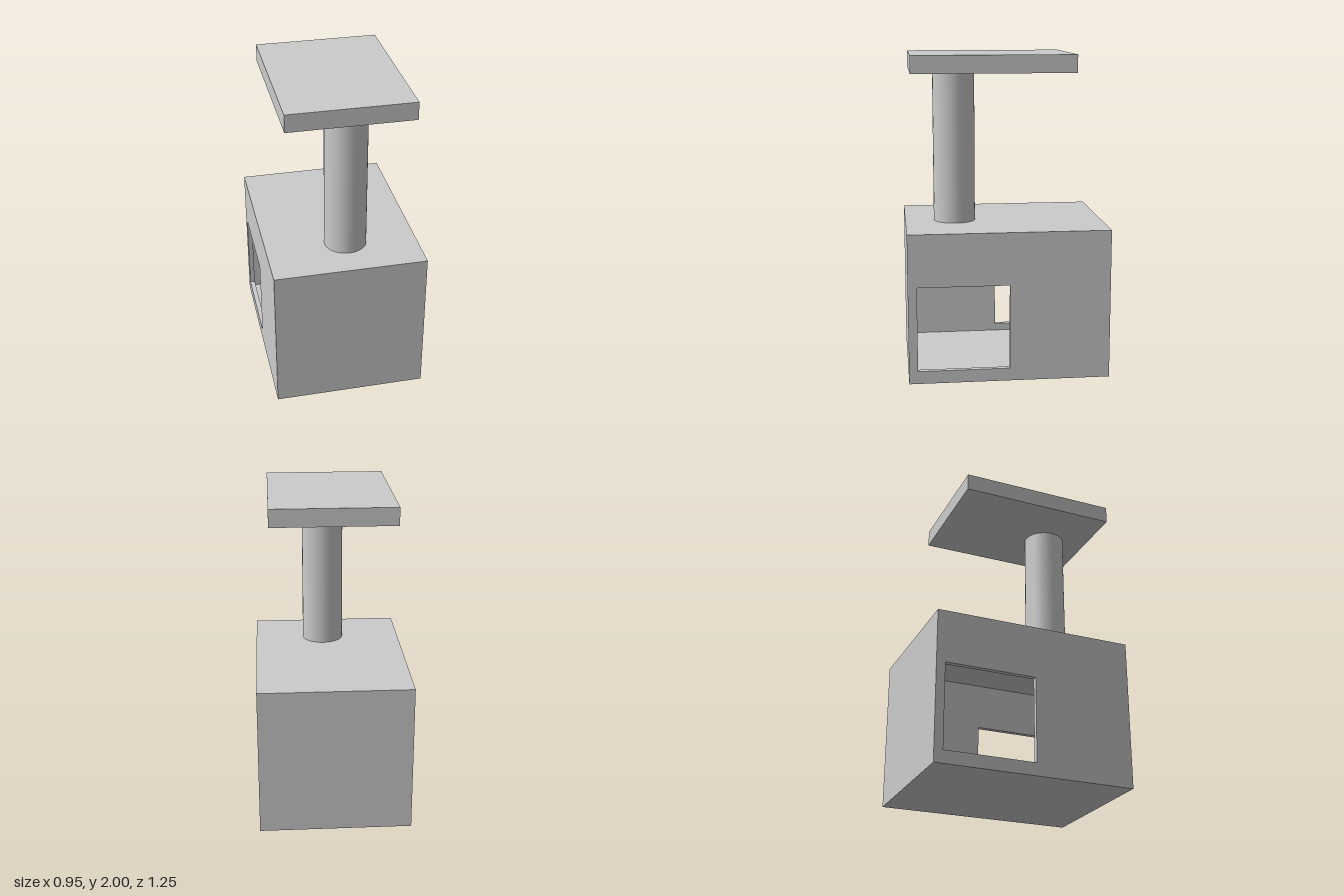
import * as THREE from 'three';

const WIDTH = 0.95, HEIGHT = 0.94, DEPTH = 1.25, WALL = 0.032;

export function createModel() {
  const model = new THREE.Group();
  const material = new THREE.MeshStandardMaterial({ color: 0xcccccc });

  function add(parent, name, geometry, x, y, z) {
    const mesh = new THREE.Mesh(geometry, material);
    mesh.name = name;
    mesh.position.set(x, y, z);
    parent.add(mesh);
    return mesh;
  }
  const box = (w, h, d) => new THREE.BoxGeometry(w, h, d);

  // Hollow box house
  const house = new THREE.Group();
  house.name = 'house';
  model.add(house);

  // Side wall with a doorway, drawn in z (across) and y (up)
  const outline = new THREE.Shape();
  outline.moveTo(-DEPTH / 2, 0).lineTo(DEPTH / 2, 0).lineTo(DEPTH / 2, HEIGHT).lineTo(-DEPTH / 2, HEIGHT).closePath();
  const doorway = new THREE.Path();
  doorway.moveTo(0, 0.08).lineTo(0, 0.61).lineTo(0.57, 0.61).lineTo(0.57, 0.08).closePath();
  outline.holes.push(doorway);
  const sideWall = new THREE.ExtrudeGeometry(outline, { depth: WALL, bevelEnabled: false });
  sideWall.rotateY(-Math.PI / 2);

  // The right wall is the left one turned half a circle, so the doorways sit diagonally
  add(house, 'leftWall', sideWall, WIDTH / 2, 0, 0);
  add(house, 'rightWall', sideWall, -WIDTH / 2, 0, 0).rotation.y = Math.PI;

  // Front, back, floor and roof fit between the side walls
  const innerWidth = WIDTH - 2 * WALL, innerDepth = DEPTH - 2 * WALL;
  for (const [name, side] of [['frontWall', 1], ['backWall', -1]]) {
    add(house, name, box(innerWidth, HEIGHT, WALL), 0, HEIGHT / 2, side * (DEPTH - WALL) / 2);
  }
  add(house, 'floor', box(innerWidth, WALL, innerDepth), 0, WALL / 2, 0);
  add(house, 'roof', box(innerWidth, WALL, innerDepth), 0, HEIGHT - WALL / 2, 0);

  // Post and upper platform
  const postTop = 1.89;
  add(model, 'post', new THREE.CylinderGeometry(0.132, 0.132, postTop - HEIGHT, 32), 0.03, (postTop + HEIGHT) / 2, 0.31);
  add(model, 'platform', box(0.765, 2 - postTop, 1.005), 0, (2 + postTop) / 2, 0.085);

  return model;
}
